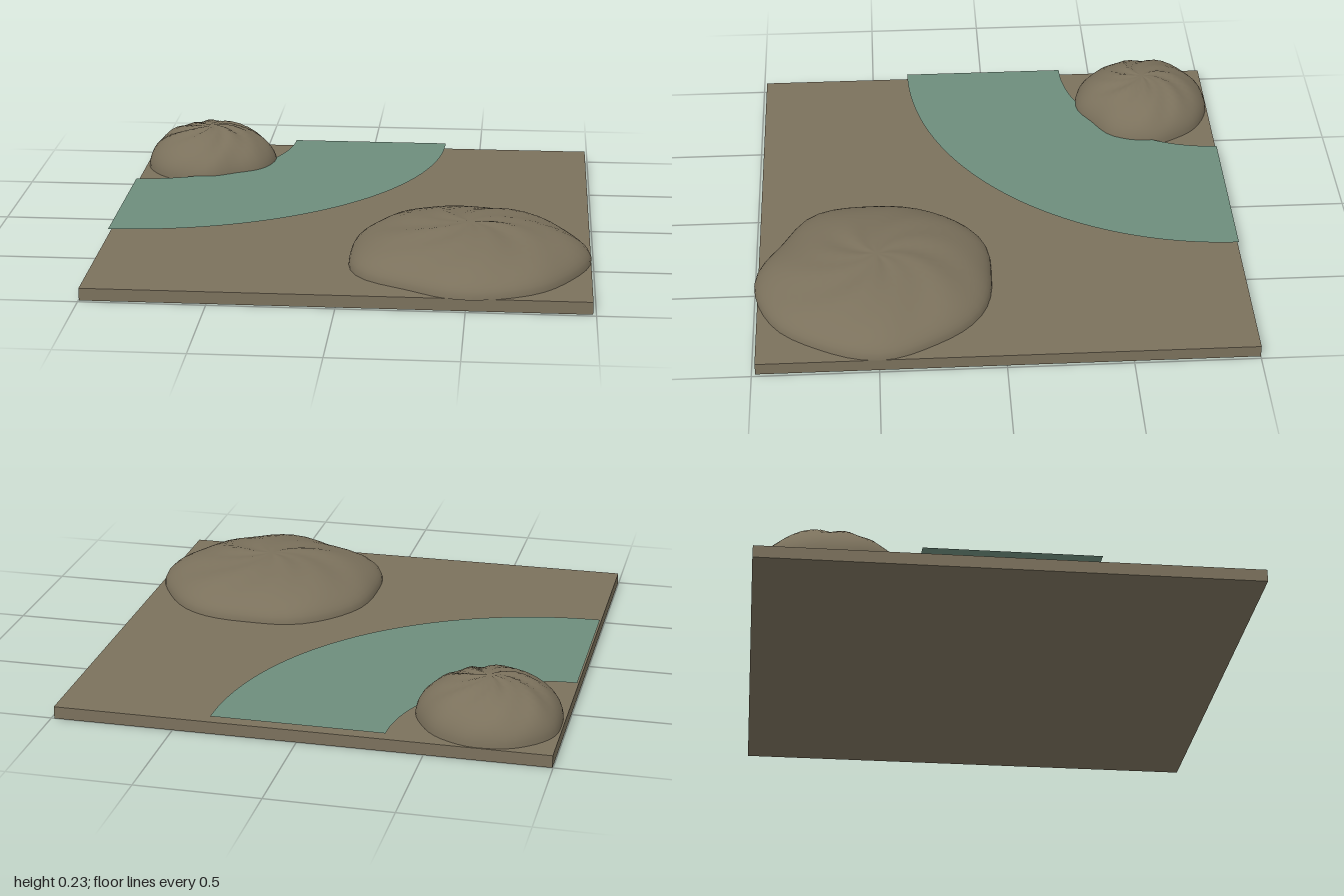
import * as THREE from 'three';
import { mergeVertices } from 'three/addons/utils/BufferGeometryUtils.js';

const earth = new THREE.MeshStandardMaterial({ color: 0x7b715c });
earth.name = 'earth';
const water = new THREE.MeshStandardMaterial({ color: 0x6d8d7c, side: THREE.DoubleSide });
water.name = 'water';

const GROUND = 0.05;

// Radius at an angle, from values spaced evenly round the outline (from +x towards +z)
function radiusAt(values, angle) {
  const n = values.length;
  const t = (((angle / (Math.PI * 2)) % 1) + 1) % 1 * n;
  const i = Math.floor(t) % n;
  const f = t - Math.floor(t);
  return THREE.MathUtils.lerp(values[i], values[(i + 1) % n], f * f * (3 - 2 * f));
}

// Lumpy dome: a hemisphere fitted to an uneven outline, with swirling ridges
function hill(name, x, z, height, outline, ridges) {
  let g = new THREE.SphereGeometry(1, 48, 16, 0, Math.PI * 2, 0, Math.PI / 2);
  g.deleteAttribute('uv');
  g.deleteAttribute('normal');
  g = mergeVertices(g);
  const p = g.attributes.position;
  for (let i = 0; i < p.count; i++) {
    const px = p.getX(i), py = p.getY(i), pz = p.getZ(i);
    const r = Math.min(1, Math.hypot(px, pz));
    const a = Math.atan2(pz, px);
    const swirl = a + (1 - r) * 1.2;
    const k = radiusAt(outline, a);
    const lump = Math.sin(swirl * ridges) + 0.6 * Math.sin(swirl * (ridges - 3) + 2 + r * 4);
    p.setXYZ(i, px * k, py * height * (1 + 0.03 * lump * Math.min(1, r * 3)), pz * k);
  }
  g.computeVertexNormals();
  const mesh = new THREE.Mesh(g, earth);
  mesh.name = name;
  mesh.position.set(x, GROUND, z);
  return mesh;
}

export function createModel() {
  const model = new THREE.Group();
  model.name = 'riverBendTile';

  // Square ground slab
  const ground = new THREE.Mesh(new THREE.BoxGeometry(1.985, GROUND, 1.985), earth);
  ground.name = 'ground';
  ground.position.set(-0.005, GROUND / 2, -0.0075);
  model.add(ground);

  // Quarter-ring river sheet, just above the ground
  const riverShape = new THREE.RingGeometry(0.645, 1.342, 48, 1, -Math.PI / 2, Math.PI / 2);
  riverShape.rotateX(-Math.PI / 2);
  const river = new THREE.Mesh(riverShape, water);
  river.name = 'river';
  river.position.set(-0.9975, GROUND + 0.025, -1);
  model.add(river);

  // Broad hill outside the bend, small steep hill inside it
  model.add(hill('largeHill', 0.5, 0.5, 0.15,
    [0.49, 0.475, 0.495, 0.5, 0.465, 0.508, 0.48, 0.495, 0.5, 0.465, 0.475, 0.465], 8));
  model.add(hill('smallHill', -0.7, -0.7, 0.178,
    [0.29, 0.29, 0.268, 0.295, 0.3, 0.295, 0.29, 0.308, 0.305, 0.295, 0.285, 0.278], 10));

  return model;
}
